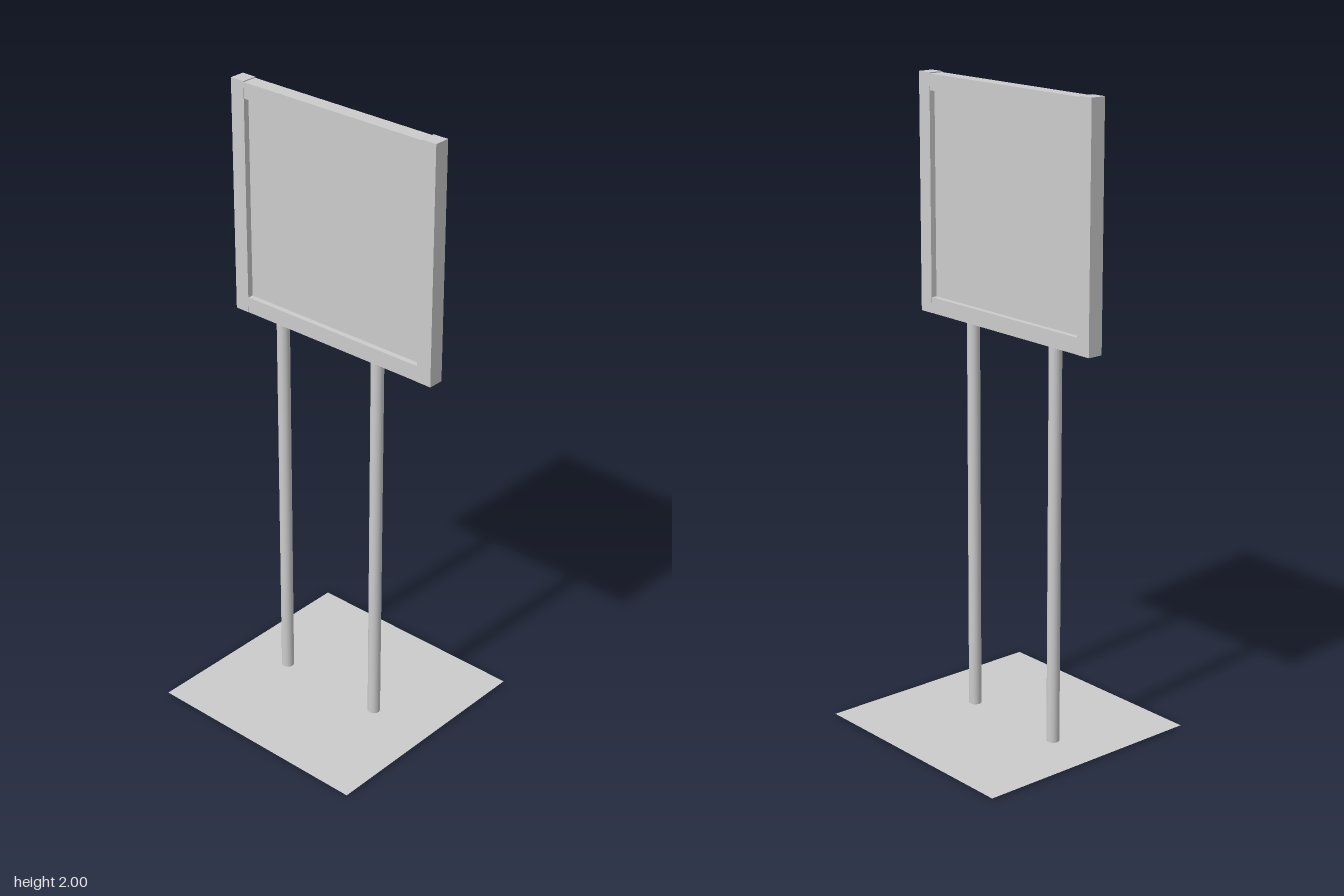
import * as THREE from 'three';

export function createModel() {
  const model = new THREE.Group();
  const material = new THREE.MeshStandardMaterial({ color: 0xcccccc });
  const sheet = new THREE.MeshStandardMaterial({ color: 0xcccccc, side: THREE.DoubleSide });

  const add = (parent, name, geometry, x, y, z, mat = material) => {
    const mesh = new THREE.Mesh(geometry, mat);
    mesh.name = name;
    mesh.position.set(x, y, z);
    parent.add(mesh);
  };

  // Thin square base sheet, pierced by the post ends
  const base = new THREE.PlaneGeometry(0.77, 0.77).rotateX(-Math.PI / 2);
  add(model, 'basePlate', base, 0, 0.006, 0, sheet);

  // Two round posts
  const postHeight = 1.262;
  for (const [name, z] of [['frontPost', 0.168], ['backPost', -0.206]]) {
    add(model, name, new THREE.CylinderGeometry(0.02, 0.02, postHeight, 24), -0.01, postHeight / 2, z);
  }

  // Sign frame: two full-height stiles with rails between them
  const sign = new THREE.Group();
  sign.name = 'sign';
  sign.position.x = -0.004;
  model.add(sign);
  const bottom = 1.262, top = 2, half = 0.382, width = 0.05, depth = 0.05;
  const midY = (bottom + top) / 2, inner = 2 * (half - width);
  for (const side of [1, -1]) {
    add(sign, side > 0 ? 'frontStile' : 'backStile',
      new THREE.BoxGeometry(depth, top - bottom, width), 0, midY, side * (half - width / 2));
    add(sign, side > 0 ? 'topRail' : 'bottomRail',
      new THREE.BoxGeometry(depth - 0.002, width, inner), 0,
      side > 0 ? top - 0.003 - width / 2 : bottom + width / 2, 0);
  }

  // Recessed panel inside the frame
  add(sign, 'panel', new THREE.BoxGeometry(0.012, top - bottom - 2 * width + 0.01, inner), 0, midY, 0);

  return model;
}
